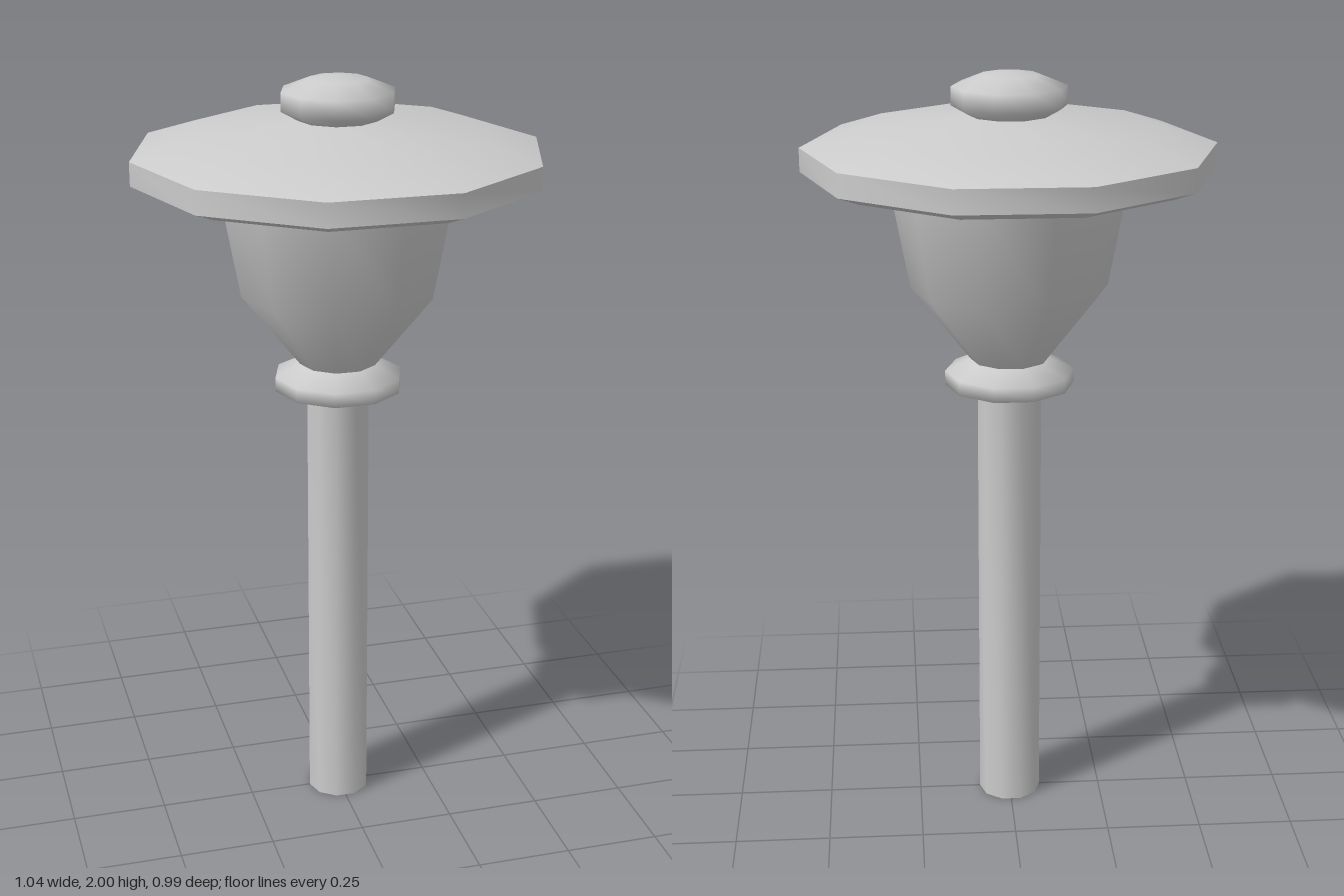
import * as THREE from 'three';
import { toCreasedNormals } from 'three/addons/utils/BufferGeometryUtils.js';

const SIDES = 10;

export function createModel() {
  const group = new THREE.Group();
  const material = new THREE.MeshStandardMaterial({ color: 0xcccccc });

  // Ten-sided turned part from [radius, height] points, bottom to top
  function turned(name, profile, creaseAngle) {
    const points = profile.map(([r, y]) => new THREE.Vector2(r, y));
    const lathe = new THREE.LatheGeometry(points, SIDES, Math.PI / 2);
    const mesh = new THREE.Mesh(toCreasedNormals(lathe, creaseAngle), material);
    mesh.name = name;
    group.add(mesh);
  }

  // Straight post, closed at the foot
  turned('post', [[0, 0], [0.083, 0], [0.083, 1.165]], 0.8);

  // Collar between post and lantern
  turned('collar', [[0.083, 1.165], [0.167, 1.193], [0.167, 1.23], [0.1, 1.262]], 1.3);

  // Flared lantern body
  turned('lanternBody', [[0.1, 1.26], [0.253, 1.455], [0.305, 1.735]], 0.8);

  // Wide cap with bevelled rim and shallow dome
  turned('cap', [
    [0.305, 1.732], [0.463, 1.732], [0.522, 1.755], [0.522, 1.815],
    [0.39, 1.857], [0.1, 1.892],
  ], 0.7);

  // Rounded finial
  turned('finial', [
    [0.1, 1.89], [0.145, 1.915], [0.145, 1.962], [0.075, 1.99], [0, 2],
  ], 1.3);

  return group;
}
